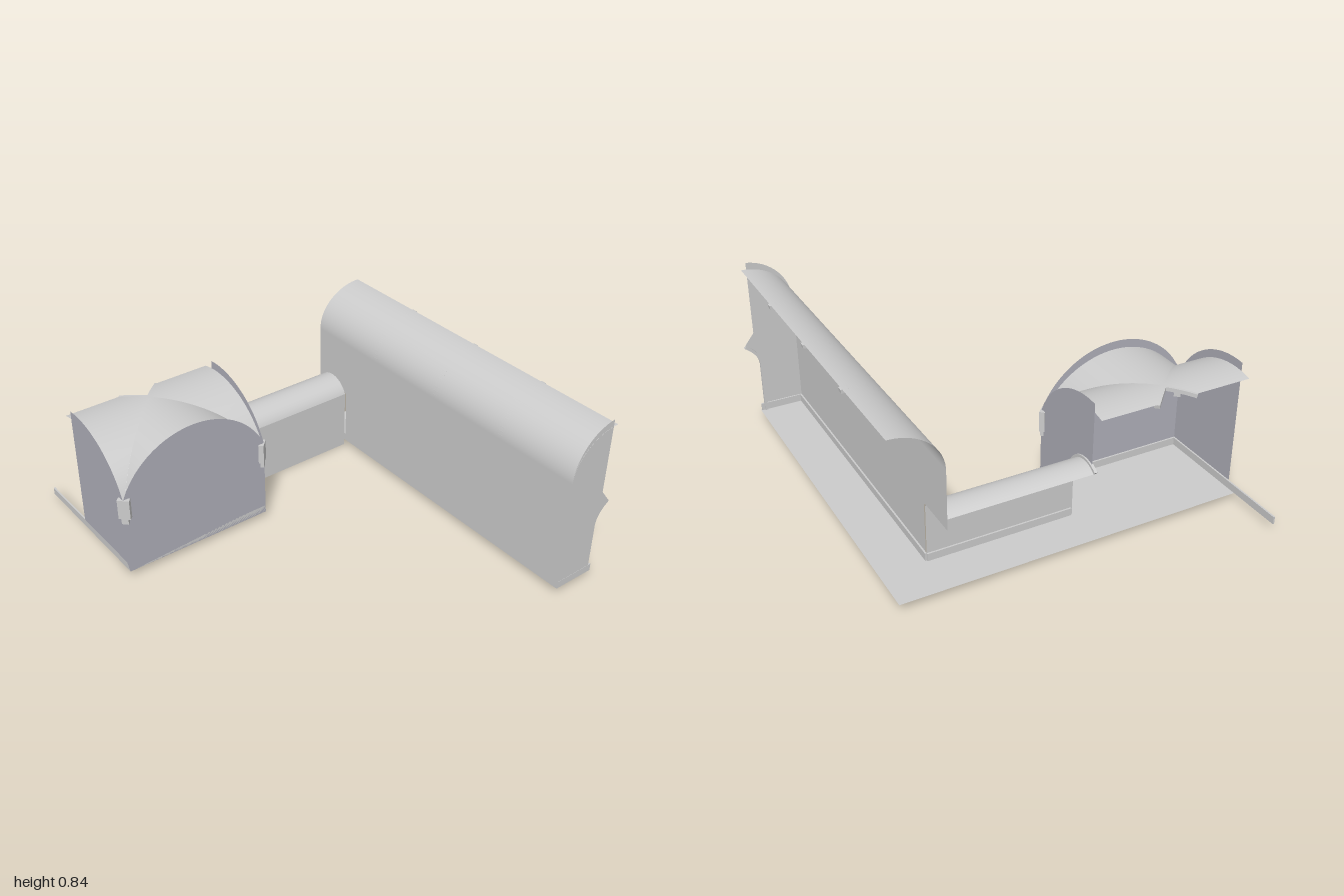
import * as THREE from 'three';
import { ParametricGeometry } from 'three/addons/geometries/ParametricGeometry.js';

const FLOOR = 0.033, CUT = -0.73;
const grey = new THREE.MeshStandardMaterial({ color: 0xcccccc, side: THREE.DoubleSide });
const panelMat = new THREE.MeshStandardMaterial({ color: 0xaeaeb8, side: THREE.DoubleSide });

// vaulted room: centre, half size and arch heights
const CX = -0.475, CZ = -0.625, HALF = 0.375;
const panelArch = d => 0.274 + Math.sqrt(0.1648 - d * d);
const vaultArch = d => panelArch(d) - 0.04;
// low passage arch over z, main corridor arch over an angle
const lowArch = z => 0.2663 + Math.sqrt(0.01293 - (z - CZ) ** 2);
const mainArch = (a, rise) => [0.84 - 0.24 * Math.cos(a), 0.605 + rise * Math.sin(a)];

const sample = (n, a, b, f) => Array.from({ length: n + 1 }, (_, i) => f(a + (b - a) * i / n));
const shapeOf = pts => new THREE.Shape(pts.map(p => new THREE.Vector2(p[0], p[1])));

// closed outline of a band that follows a path with a given thickness
function bandShape(pts, t) {
  const inner = pts.map((p, i) => {
    const a = pts[Math.max(i - 1, 0)], b = pts[Math.min(i + 1, pts.length - 1)];
    const dx = b[0] - a[0], dy = b[1] - a[1], l = Math.hypot(dx, dy);
    return [p[0] + dy / l * t, p[1] - dx / l * t];
  });
  return shapeOf([...pts, ...inner.reverse()]);
}

export function createModel() {
  const model = new THREE.Group();
  const add = (name, geo, mat = grey) => {
    const m = new THREE.Mesh(geo, mat);
    m.name = name;
    model.add(m);
    return m;
  };
  const box = (name, x0, x1, y0, y1, z0, z1) =>
    add(name, new THREE.BoxGeometry(x1 - x0, y1 - y0, z1 - z0))
      .position.set((x0 + x1) / 2, (y0 + y1) / 2, (z0 + z1) / 2);
  // flat sheet drawn in (z, y) standing at x
  const sideSheet = (name, pts, x, mat) => {
    const m = add(name, new THREE.ShapeGeometry(shapeOf(pts)), mat);
    m.rotation.y = -Math.PI / 2;
    m.position.x = x;
  };
  const surface = (name, f, nu, nv) =>
    add(name, new ParametricGeometry((u, v, p) => p.set(...f(u, v)), nu, nv));
  const rib = (name, pts, t, width) => {
    const g = new THREE.ExtrudeGeometry(bandShape(pts, t), { depth: width, bevelEnabled: false });
    g.translate(0, 0, -width / 2);
    return add(name, g);
  };

  // floors
  const floor = (name, x0, x1, z0, z1) => {
    const m = add(name, new THREE.PlaneGeometry(x1 - x0, z1 - z0));
    m.rotation.x = -Math.PI / 2;
    m.position.set((x0 + x1) / 2, FLOOR, (z0 + z1) / 2);
  };
  floor('corridorFloor', 0.6, 0.82, CUT, 1);
  floor('passageFloor', -0.1, 0.6, CUT, -0.52);
  floor('roomFloor', -0.85, -0.1, CUT, -0.25);

  // main corridor: wall with passage opening, half vault, ribs
  sideSheet('corridorWall', [[1, FLOOR], [-0.51, FLOOR], [-0.51, 0.31], [-0.52, 0.32],
    [CUT, 0.32], [CUT, 0.605], [1, 0.605]], 0.6);
  surface('corridorVault', (u, v) => [...mainArch(u * Math.PI / 2, 0.205), 1 + v * (CUT - 1)], 20, 1);
  for (const z of [0.57, 0.14, -0.29]) {
    const path = [[0.6, 0.57], ...sample(16, 0, Math.PI / 2, a => mainArch(a, 0.205)), [0.847, 0.809]];
    rib('corridorRib', path, 0.018, 0.027).position.z = z;
  }

  // end wall with half of a doorway and its moulding
  const doorCurve = new THREE.QuadraticBezierCurve(
    new THREE.Vector2(0.8, 0.3), new THREE.Vector2(0.808, 0.36), new THREE.Vector2(0.87, 0.4));
  const doorEdge = [[0.8, FLOOR], ...doorCurve.getPoints(10).map(p => [p.x, p.y])];
  const topAngle = Math.acos(0.025 / 0.24);
  add('endWall', new THREE.ShapeGeometry(shapeOf([[0.6, FLOOR], ...doorEdge, [0.815, 0.47],
    ...sample(16, topAngle, 0, a => mainArch(a, 0.24))]))).position.z = 0.999;
  rib('doorMoulding', doorEdge, -0.014, 0.012).position.z = 0.992;

  // low passage: wall, vault, arch casing
  add('passageWall', new THREE.PlaneGeometry(0.7, 0.31)).position.set(0.25, 0.155, -0.52);
  surface('passageVault', (u, v) => {
    const z = -0.52 - 0.18 * u;
    return [-0.1 + 0.7 * v, lowArch(z), z];
  }, 16, 1);
  const passageEdge = [[-0.52, FLOOR], [-0.52, 0.31], ...sample(12, -0.525, -0.70, z => [z, lowArch(z)])];
  const casing = rib('passageCasing', passageEdge, 0.012, 0.014);
  casing.rotation.y = -Math.PI / 2;
  casing.position.x = -0.1;

  // vaulted room: arched wall panels
  const frontArc = sample(32, HALF, -HALF, d => [CX + d, panelArch(d)]);
  add('roomFrontPanel', new THREE.ShapeGeometry(shapeOf(
    [[-0.85, FLOOR], [-0.1, FLOOR], ...frontArc])), panelMat).position.z = -0.25;
  const sideArc = sample(24, -0.05, HALF, d => [CZ + d, panelArch(d)]);
  sideSheet('roomRightPanel', [[-0.25, FLOOR], [-0.675, FLOOR], ...sideArc], -0.85, panelMat);
  sideSheet('roomLeftPanel', [[-0.25, FLOOR], [-0.52, FLOOR], [-0.52, 0.31],
    ...sample(8, -0.525, -0.675, z => [z, lowArch(z)]), ...sideArc], -0.1, panelMat);

  // groin vault: front web, then both side webs, cut at the back
  surface('vaultFrontWeb', (u, v) => {
    const d = (u * 2 - 1) * HALF;
    return [CX + d, vaultArch(d), CZ + Math.abs(d) + (HALF - Math.abs(d)) * v];
  }, 40, 4);
  for (const s of [-1, 1]) {
    for (const [name, end] of [['vaultSideWeb', HALF], ['vaultBackWeb', CUT - CZ]]) {
      surface(name, (u, v) => {
        const d = end * u, a = Math.abs(d);
        return [CX + s * (a + (HALF - a) * v), vaultArch(d), CZ + d];
      }, 20, 4);
    }
    // diagonal rib under the groin, passing the crown
    const path = sample(28, CUT - CZ, HALF, d => [d * Math.SQRT2, vaultArch(d)]);
    const diagonal = rib('diagonalRib', path, 0.018, 0.025);
    diagonal.position.set(CX, 0, CZ);
    diagonal.rotation.y = s > 0 ? -Math.PI / 4 : -Math.PI * 3 / 4;

    // corbel at the corner: block with a tapered foot
    const corbel = new THREE.Group();
    corbel.name = 'corbel';
    const block = new THREE.Mesh(new THREE.BoxGeometry(0.055, 0.1, 0.025), grey);
    block.position.y = 0.382;
    const foot = new THREE.Mesh(new THREE.BoxGeometry(0.032, 0.03, 0.02), grey);
    foot.position.y = 0.318;
    corbel.add(block, foot);
    corbel.position.set(CX + s * 0.368, 0, -0.256);
    corbel.rotation.y = s * Math.PI / 4;
    model.add(corbel);
  }

  // skirting along the foot of the walls
  const top = 0.07, t = 0.008;
  box('corridorSkirting', 0.6, 0.6 + t, FLOOR, top, -0.52, 1);
  box('endSkirting', 0.6, 0.815, FLOOR, top, 1 - t, 1);
  box('passageSkirting', -0.1, 0.6, FLOOR, top, -0.52 - t, -0.52);
  box('roomFrontSkirting', -0.85, -0.1, FLOOR, top, -0.25 - t, -0.25);
  box('roomRightSkirting', -0.85, -0.85 + t, FLOOR, top, -1, -0.25);
  box('roomLeftSkirting', -0.1 - t, -0.1, FLOOR, top, -0.52, -0.25);

  return model;
}
